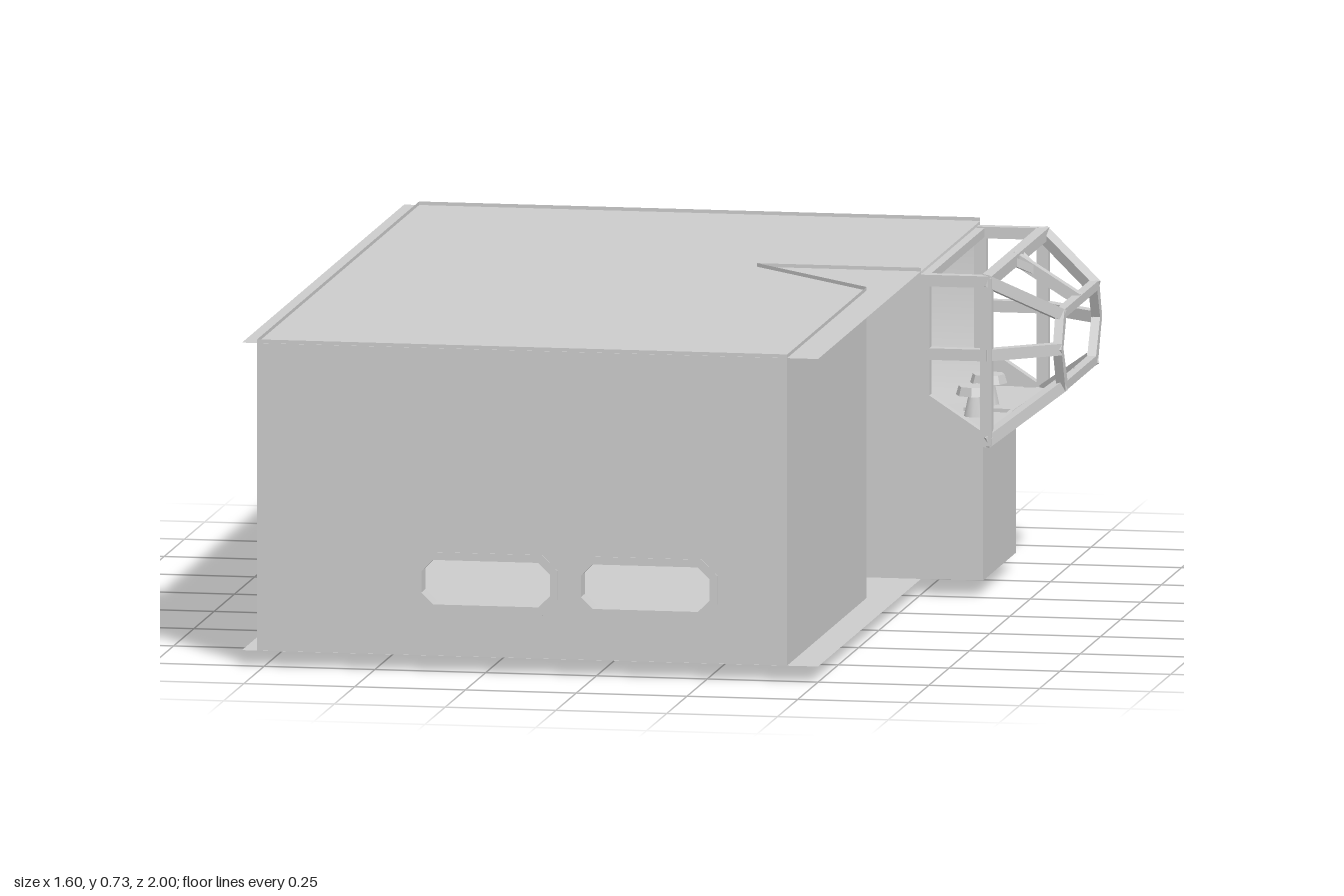
import * as THREE from 'three';

const mat = new THREE.MeshStandardMaterial({ color: 0xcccccc, side: THREE.DoubleSide });
const V = (x, y, z) => new THREE.Vector3(x, y, z);

const TOP = 0.734, BASE = 0.035, ROOF = 0.726;
const LEFT = -0.766, SIDE = 0.43, NOSE = 0.5;
const CZ = -0.635; // middle of the cockpit

function add(group, geometry, name, x = 0, y = 0, z = 0) {
  const mesh = new THREE.Mesh(geometry, mat);
  mesh.name = name;
  mesh.position.set(x, y, z);
  group.add(mesh);
  return mesh;
}

function box(group, name, x0, x1, y0, y1, z0, z1) {
  return add(group, new THREE.BoxGeometry(x1 - x0, y1 - y0, z1 - z0), name,
    (x0 + x1) / 2, (y0 + y1) / 2, (z0 + z1) / 2);
}

// Thin upright wall between two plan points
function wall(group, name, x0, z0, x1, z1) {
  const len = Math.hypot(x1 - x0, z1 - z0);
  const m = add(group, new THREE.PlaneGeometry(len, TOP - BASE), name,
    (x0 + x1) / 2, (TOP + BASE) / 2, (z0 + z1) / 2);
  m.rotation.y = -Math.atan2(z1 - z0, x1 - x0);
}

// Horizontal sheet
function sheet(group, name, y, x0, x1, z0, z1) {
  const g = new THREE.PlaneGeometry(x1 - x0, z1 - z0).rotateX(-Math.PI / 2);
  return add(group, g, name, (x0 + x1) / 2, y, (z0 + z1) / 2);
}

// Rectangular bar between two points
function bar(group, name, a, b, w = 0.026) {
  const m = add(group, new THREE.BoxGeometry(w, w, a.distanceTo(b) + w * 0.6), name);
  m.position.copy(a).add(b).multiplyScalar(0.5);
  m.lookAt(b);
}

function polygon(points, Type = THREE.Shape) {
  return new Type(points.map(([x, y]) => new THREE.Vector2(x, y)));
}

// Rectangle with cut corners
function chamfered(cx, cy, w, h, c) {
  const a = w / 2, b = h / 2;
  return [[-a + c, -b], [a - c, -b], [a, -b + c], [a, b - c], [a - c, b], [-a + c, b], [-a, b - c], [-a, -b + c]]
    .map(([x, y]) => [x + cx, y + cy]);
}

function buildHull() {
  const hull = new THREE.Group();
  hull.name = 'hull';
  sheet(hull, 'roof', ROOF, -0.8, NOSE, -1, 1);
  sheet(hull, 'floor', BASE, -0.8, NOSE, -1, 1);
  wall(hull, 'leftSideWall', LEFT, -1, LEFT, 1);
  wall(hull, 'rightSideWall', SIDE, 1, SIDE, 0.02);
  wall(hull, 'slantedWall', SIDE, 0.02, 0.13, -0.27);

  // Front wall with two framed windows
  const front = polygon([[LEFT, BASE], [SIDE, BASE], [SIDE, TOP], [LEFT, TOP]]);
  for (const cx of [-0.25, 0.11]) {
    front.holes.push(polygon(chamfered(cx, 0.2, 0.31, 0.12, 0.03), THREE.Path));
    const frame = polygon(chamfered(cx, 0.2, 0.325, 0.135, 0.035));
    frame.holes.push(polygon(chamfered(cx, 0.2, 0.29, 0.1, 0.026), THREE.Path));
    add(hull, new THREE.ExtrudeGeometry(frame, { depth: 0.05, bevelEnabled: false }), 'windowFrame', 0, 0, 0.95);
  }
  add(hull, new THREE.ShapeGeometry(front), 'frontWall', 0, 0, 0.998);

  // Wall beside the cockpit, stepping out over the lower block
  add(hull, new THREE.ShapeGeometry(polygon([[0.13, BASE], [0.64, BASE], [0.64, 0.335],
    [NOSE, 0.44], [NOSE, TOP], [0.13, TOP]])), 'cockpitSideWall', 0, 0, -0.27);

  // Back wall rolling softly into the overhang underneath
  const back = new THREE.PlaneGeometry(NOSE - LEFT, 1, 1, 2);
  const rows = [[TOP, -1], [0.34, -1], [0.34, -0.675]];
  const p = back.attributes.position;
  for (let i = 0; i < p.count; i++) {
    const [y, z] = rows[Math.floor(i / 2)];
    p.setXYZ(i, i % 2 ? LEFT : NOSE, y, z);
  }
  back.computeVertexNormals();
  add(hull, back, 'backWall');
  const low = add(hull, new THREE.PlaneGeometry(0.64 - LEFT, 0.34 - BASE), 'recessedBackWall',
    (0.64 + LEFT) / 2, (0.34 + BASE) / 2, -0.675);
  low.rotation.y = Math.PI;
  const end = add(hull, new THREE.PlaneGeometry(0.405, 0.3), 'lowerBlockFace', 0.64, 0.185, -0.4725);
  end.rotation.y = Math.PI / 2;

  // Small box under the floor
  box(hull, 'underfloorBox', LEFT, -0.595, 0, BASE, -0.53, -0.34);
  return hull;
}

function buildCockpit() {
  const cockpit = new THREE.Group();
  cockpit.name = 'cockpit';
  const X0 = 0.505, X1 = 0.645, X2 = 0.782;

  // Hexagonal front window frame
  const hex = (dz, dy) => [[-0.215 + dz, 0.625 - dy], [0.215 - dz, 0.625 - dy], [0.25 - dz, 0.54],
    [0.2 - dz, 0.44 + dy], [-0.2 + dz, 0.44 + dy], [-0.25 + dz, 0.54]];
  const ring = polygon(hex(0, 0));
  ring.holes.push(polygon(hex(0.024, 0.02), THREE.Path));
  const ringGeo = new THREE.ExtrudeGeometry(ring, { depth: 0.02, bevelEnabled: false }).rotateY(Math.PI / 2);
  add(cockpit, ringGeo, 'noseWindowFrame', 0.776, 0, CZ);

  // Side frames, mirrored about the middle of the cockpit
  for (const s of [1, -1]) {
    const at = (x, y, dz) => V(x, y, CZ + s * dz);
    const W = 0.348;
    const bars = [
      [at(X0, 0.705, W), at(X1, 0.705, W)], [at(X0, 0.54, W), at(X1, 0.54, W)],
      [at(X0, 0.44, W), at(X1, 0.348, W)], [at(X0, 0.44, W), at(X0, 0.705, W)],
      [at(X1, 0.348, W), at(X1, 0.705, W)],
      [at(X1, 0.705, W), at(X2, 0.615, 0.21)], [at(X1, 0.54, W), at(X2, 0.54, 0.24)],
      [at(X1, 0.348, W), at(X2, 0.45, 0.195)],
    ];
    for (const [a, b] of bars) bar(cockpit, 'sideFrameBar', a, b);
    // Sloped cheek between the wall and the deck
    const cheek = polygon([[X0 - 0.005, 0.34], [X1, 0.34], [X0 - 0.005, 0.44]]);
    add(cockpit, new THREE.ShapeGeometry(cheek), 'cheek', 0, 0, CZ + s * 0.36);
  }

  // Cross bars, centre struts and their flared feet
  for (const [y, yNose] of [[0.705, 0.62], [0.348, 0.447]]) {
    bar(cockpit, 'crossBar', V(X1, y, CZ - 0.348), V(X1, y, CZ + 0.348));
    bar(cockpit, 'centreStrut', V(X1, y, CZ), V(X2, yNose, CZ));
    for (const s of [1, -1])
      bar(cockpit, 'strutFlare', V(X1, y, CZ + s * 0.045), V(X1 + 0.045, y + (yNose - y) / 3, CZ), 0.018);
  }
  bar(cockpit, 'roofSill', V(X0, 0.705, CZ - 0.348), V(X0, 0.705, CZ + 0.348), 0.02);

  // Deck with two raised consoles and control knobs
  box(cockpit, 'deck', NOSE, 0.655, 0.336, 0.35, -0.995, -0.275);
  for (const s of [1, -1]) {
    const z = CZ + s * 0.185;
    box(cockpit, 'console', 0.525, 0.64, 0.35, 0.36, z - 0.16, z + 0.16);
    const kz = CZ + s * 0.087;
    add(cockpit, new THREE.CylinderGeometry(0.012, 0.025, 0.06, 8), 'knobStem', 0.57, 0.385, kz);
    add(cockpit, new THREE.CylinderGeometry(0.036, 0.042, 0.02, 8).toNonIndexed(), 'knob', 0.57, 0.418, kz)
      .geometry.computeVertexNormals();
  }
  return cockpit;
}

export function createModel() {
  const model = new THREE.Group();
  model.name = 'cabinModule';
  model.add(buildHull(), buildCockpit());
  return model;
}
